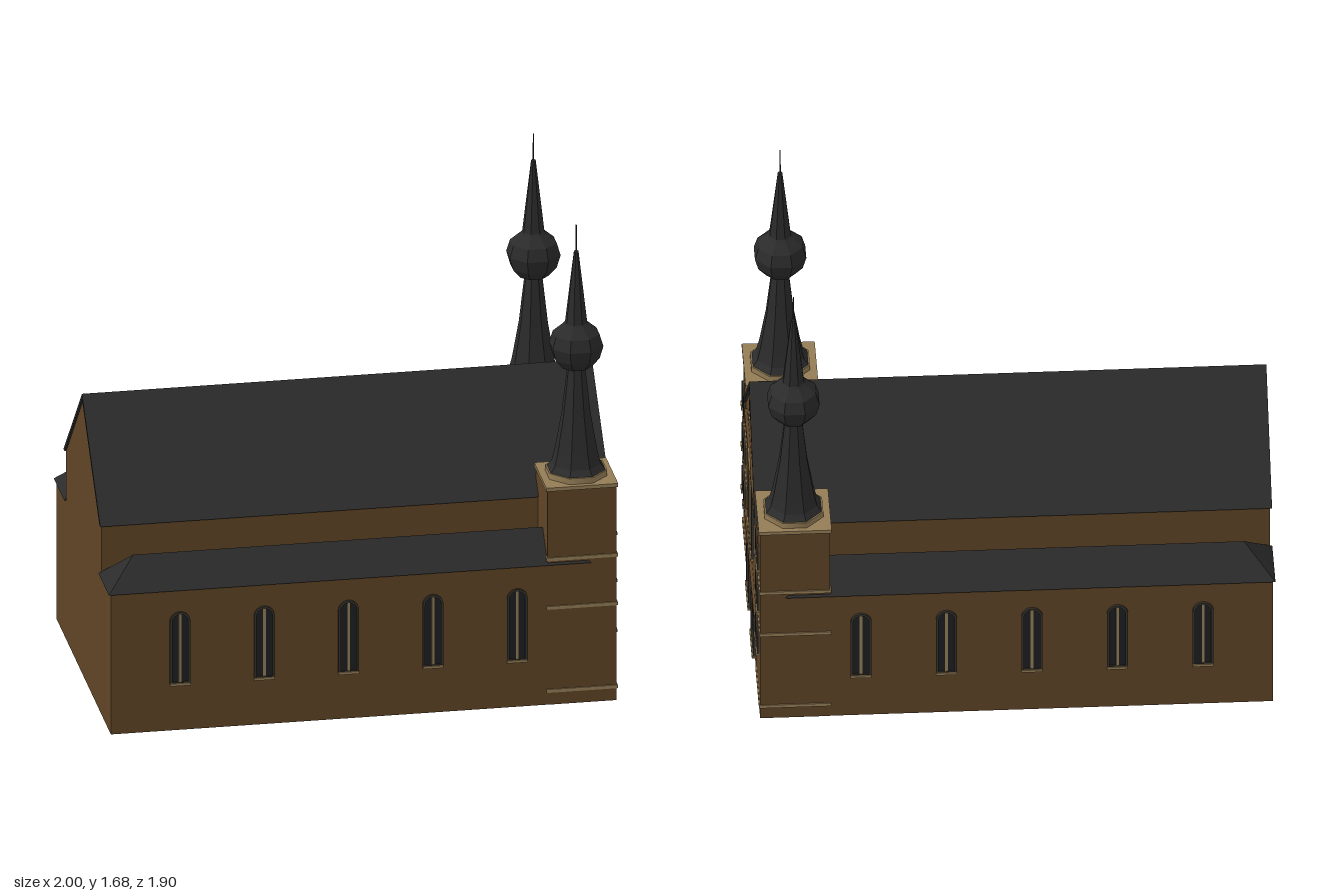
import * as THREE from 'three';

const mat = (name, color, extra = {}) => Object.assign(new THREE.MeshStandardMaterial({ color, ...extra }), { name });

export function createModel() {
  const wall = mat('brown stone', 0x5f4426);
  const roof = mat('dark slate', 0x2b2b2b, { flatShading: true });
  const trim = mat('tan stone', 0x947d56);
  const glass = mat('dark glass', 0x1d1e20);
  const frame = mat('window frame', 0x37332d);

  // x runs along the nave towards the facade, z runs across it
  const church = new THREE.Group();
  church.name = 'church';
  church.rotation.y = THREE.MathUtils.degToRad(39.4);

  const add = (parent, name, geo, material, x = 0, y = 0, z = 0) => {
    const m = new THREE.Mesh(geo, material);
    m.name = name;
    m.position.set(x, y, z);
    parent.add(m);
    return m;
  };
  // box given by its ranges along each axis
  const block = (parent, name, material, x0, x1, y0, y1, z0, z1) =>
    add(parent, name, new THREE.BoxGeometry(x1 - x0, y1 - y0, z1 - z0), material,
      (x0 + x1) / 2, (y0 + y1) / 2, (z0 + z1) / 2);
  // (z, y) cross-section swept along x
  const sweep = (name, material, pts, x0, x1) => {
    const shape = new THREE.Shape(pts.map(p => new THREE.Vector2(...p)));
    const geo = new THREE.ExtrudeGeometry(shape, { depth: x1 - x0, bevelEnabled: false });
    geo.rotateY(Math.PI / 2);
    return add(church, name, geo, material, x0);
  };

  // Nave and its roof
  sweep('nave', wall, [[-0.335, 0], [0.335, 0], [0.335, 0.685], [0, 1.01], [-0.335, 0.685]], -0.852, 0.862);
  sweep('naveRoof', roof, [[-0.348, 0.682], [-0.33, 0.682], [0, 1.004], [0.33, 0.682], [0.348, 0.682], [0, 1.022]], -0.858, 0.872);

  // Round-headed outline standing on y = 0
  const archPath = (Type, w, h, y = 0) => {
    const p = new Type();
    p.moveTo(-w / 2, y);
    p.lineTo(w / 2, y);
    p.lineTo(w / 2, h - w / 2);
    p.absarc(0, h - w / 2, w / 2, 0, Math.PI, false);
    p.lineTo(-w / 2, y);
    return p;
  };
  // Arched opening facing +z, with frame, glass, sill and optional bars
  const arch = (name, w, h, { t = 0.008, mullion = 0, slats = 0, sill = true } = {}) => {
    const g = new THREE.Group();
    g.name = name;
    const ring = archPath(THREE.Shape, w, h);
    ring.holes.push(archPath(THREE.Path, w - 2 * t, h - t, t));
    add(g, 'frame', new THREE.ExtrudeGeometry(ring, { depth: 0.008, bevelEnabled: false, curveSegments: 8 }), frame);
    add(g, 'glass', new THREE.ShapeGeometry(archPath(THREE.Shape, w, h), 8), glass, 0, 0, 0.003);
    if (mullion) block(g, 'mullion', trim, -mullion / 2, mullion / 2, t, h - t, 0.003, 0.006);
    for (let i = 0; i < slats; i++) {
      const y = t + (i + 0.5) * (h - 0.02) / slats;
      block(g, 'slat', trim, -w / 2 + t, w / 2 - t, y - 0.003, y + 0.003, 0.003, 0.007);
    }
    if (sill) block(g, 'sill', trim, -w / 2, w / 2, -0.004, 0.005, 0, 0.012);
    return g;
  };

  // Aisles, their hipped roofs and windows
  for (const s of [1, -1]) {
    const aisle = new THREE.Group();
    aisle.name = s > 0 ? 'rightAisle' : 'leftAisle';
    aisle.rotation.y = 0;
    church.add(aisle);
    block(aisle, 'aisleWall', wall, -0.852, 0.757, 0, 0.51, s > 0 ? 0.3 : -0.514, s > 0 ? 0.514 : -0.3);

    const hip = new THREE.BoxGeometry(1.636, 0.1, 0.2);
    const p = hip.attributes.position;
    for (let i = 0; i < p.count; i++) {
      if (p.getY(i) > 0) {
        p.setX(i, Math.sign(p.getX(i)) * 0.718);
        p.setZ(i, 0);
      }
    }
    hip.computeVertexNormals();
    add(aisle, 'aisleRoof', hip, roof, -0.042, 0.555, s * 0.422);

    for (let i = 0; i < 5; i++) {
      const w = arch('aisleWindow', 0.07, 0.26, { mullion: 0.009 });
      w.position.set(-0.618 + i * 0.286, 0.167, s * 0.514);
      if (s < 0) w.rotation.y = Math.PI;
      aisle.add(w);
    }
  }

  // Facade openings
  const onFacade = (g, y, z, x = 0.862) => {
    g.position.set(x, y, z);
    g.rotation.y = Math.PI / 2;
    church.add(g);
  };
  for (const s of [1, -1]) {
    onFacade(arch('door', 0.155, 0.215, { t: 0.01, mullion: 0.012 }), 0.022, s * 0.133);
    onFacade(arch('gableWindow', 0.027, 0.055, { t: 0.005 }), 0.875, s * 0.016);
  }
  for (let i = 0; i < 4; i++)
    onFacade(arch('lancet', 0.054, i % 3 ? 0.305 : 0.295, { t: 0.007 }), 0.36, (i - 1.5) * 0.061);
  for (const z of [-0.0305, 0.0305])
    block(church, 'lancetMullion', trim, 0.862, 0.872, 0.365, 0.63, z - 0.004, z + 0.004);
  for (const y of [0.258, 0.678])
    block(church, 'stringCourse', wall, 0.86, 0.872, y - 0.005, y + 0.005, -0.295, 0.295);

  // Rose window
  const rose = new THREE.Group();
  rose.name = 'roseWindow';
  add(rose, 'roseGlass', new THREE.CircleGeometry(0.042, 20), frame, 0, 0, 0.011);
  add(rose, 'roseRing', new THREE.TorusGeometry(0.042, 0.004, 6, 20), trim, 0, 0, 0.011);
  add(rose, 'roseHub', new THREE.TorusGeometry(0.011, 0.003, 6, 12), trim, 0, 0, 0.012);
  for (let i = 0; i < 4; i++)
    add(rose, 'roseSpoke', new THREE.BoxGeometry(0.084, 0.004, 0.004), trim, 0, 0, 0.013).rotation.z = i * Math.PI / 4;
  onFacade(rose, 0.69, 0);

  // Twin towers with onion-ball spires
  const spirePts = [[0.102, 0.803], [0.084, 0.825], [0.073, 0.87], [0.05, 1.0], [0.031, 1.165],
    [0.052, 1.172], [0.08, 1.205], [0.093, 1.25], [0.08, 1.292], [0.045, 1.322], [0.038, 1.33],
    [0.008, 1.585], [0, 1.59]].map(q => new THREE.Vector2(...q));
  for (const s of [1, -1]) {
    const tower = new THREE.Group();
    tower.name = s > 0 ? 'rightTower' : 'leftTower';
    tower.position.set(0.746, 0, s * 0.405);
    church.add(tower);
    block(tower, 'towerBody', wall, -0.117, 0.117, 0, 0.772, -0.11, 0.11);
    for (const y of [0.05, 0.35, 0.525])
      block(tower, 'towerBand', trim, -0.121, 0.121, y - 0.006, y + 0.006, -0.114, 0.114);
    block(tower, 'cornice', trim, -0.122, 0.122, 0.771, 0.784, -0.115, 0.115);
    add(tower, 'spirePlinth', new THREE.CylinderGeometry(0.106, 0.106, 0.022, 8, 1, false, Math.PI / 8), trim, 0, 0.794);
    add(tower, 'spire', new THREE.LatheGeometry(spirePts, 8, Math.PI / 8), roof);
    add(tower, 'finial', new THREE.CylinderGeometry(0.002, 0.003, 0.1, 6), roof, 0, 1.63);

    // three rows of paired windows, the top row louvred
    [[0.23, 0.095, 0], [0.41, 0.095, 0], [0.58, 0.1, 5]].forEach(([y, h, slats]) => {
      for (const d of [-0.042, 0.042])
        onFacade(arch('towerWindow', 0.042, h, { t: 0.006, slats, mullion: slats ? 0 : 0.004 }), y, s * 0.405 + d, 0.863);
    });
  }

  const model = new THREE.Group();
  model.name = 'twinTowerChurch';
  model.add(church);
  return model;
}
